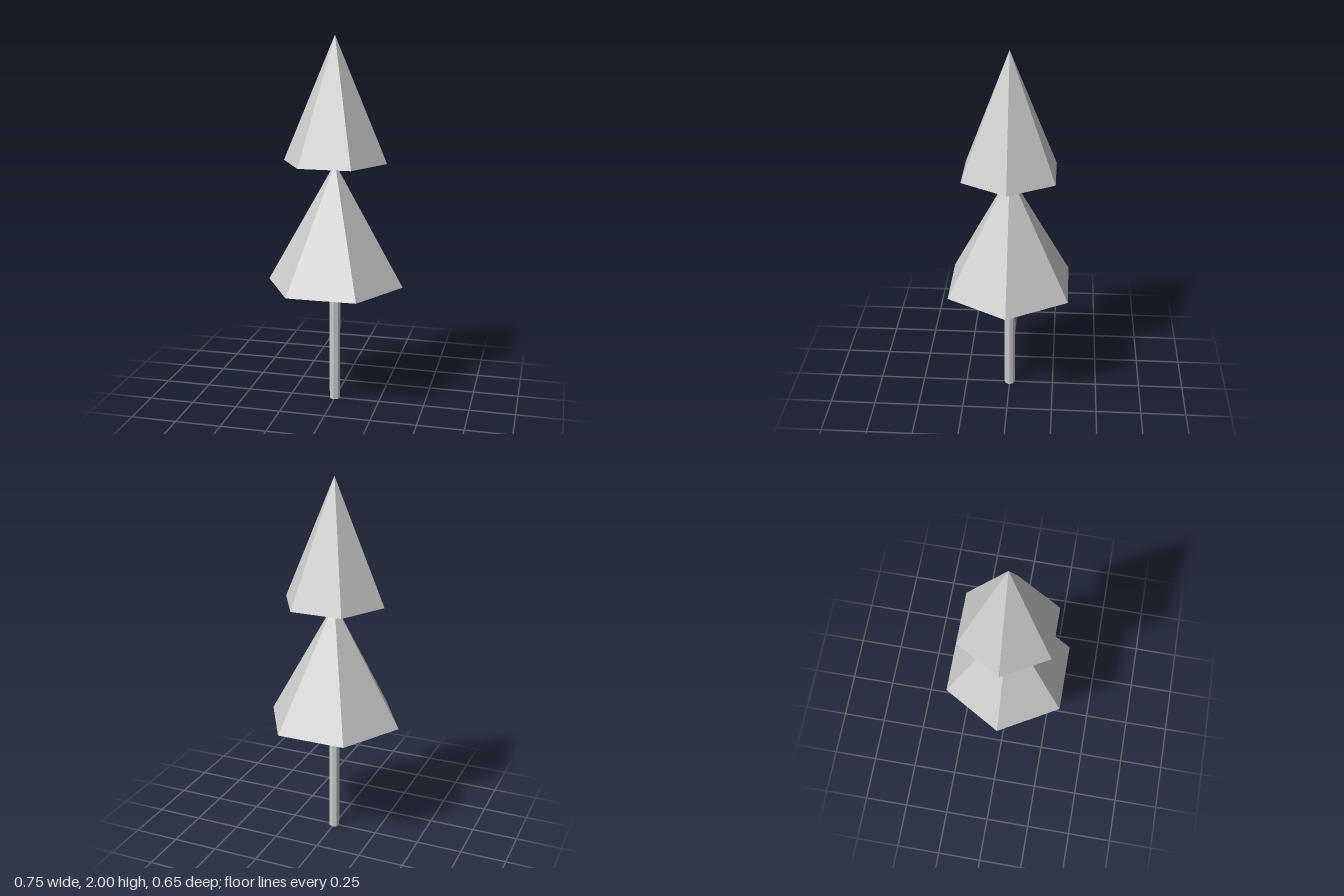
import * as THREE from 'three';

export function createModel() {
  const group = new THREE.Group();
  const material = new THREE.MeshStandardMaterial({ color: 0xcccccc, flatShading: true });

  const add = (name, geometry, y) => {
    const mesh = new THREE.Mesh(geometry, material);
    mesh.name = name;
    mesh.position.y = y;
    group.add(mesh);
  };

  // Six-sided foliage cone with corners on the x axis
  const addFoliage = (name, radius, bottom, top) => {
    const cone = new THREE.ConeGeometry(radius, top - bottom, 6).rotateY(Math.PI / 6);
    add(name, cone, (bottom + top) / 2);
  };

  // Thin eight-sided trunk
  const trunkHeight = 0.671;
  add('trunk', new THREE.CylinderGeometry(0.03, 0.03, trunkHeight, 8), trunkHeight / 2);

  // Two tiers of foliage
  addFoliage('lowerFoliage', 0.373, 0.671, 1.333);
  addFoliage('upperFoliage', 0.28, 1.34, 2);

  return group;
}
